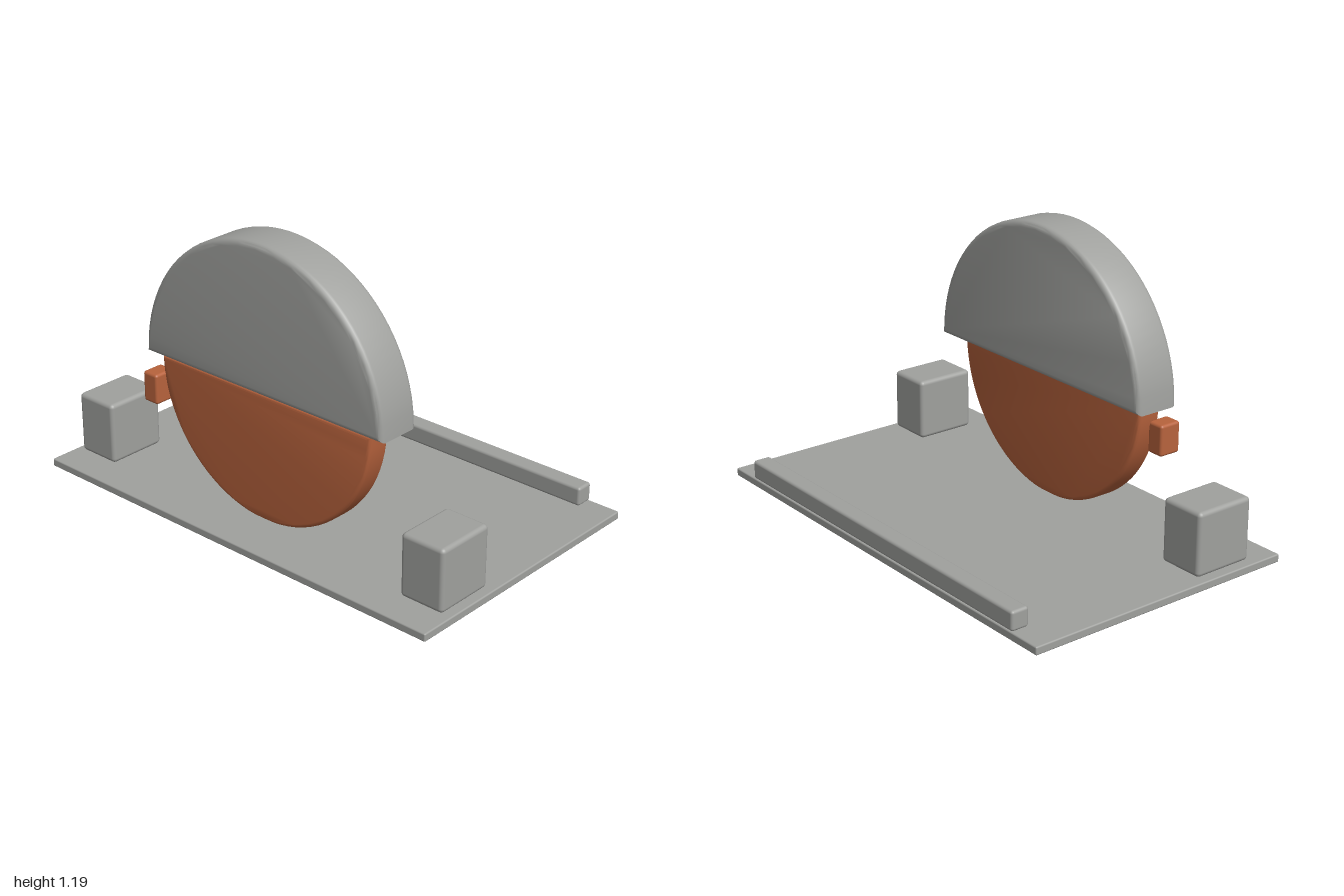
import * as THREE from 'three';
import { toCreasedNormals } from 'three/addons/utils/BufferGeometryUtils.js';
import { RoundedBoxGeometry } from 'three/addons/geometries/RoundedBoxGeometry.js';

const grey = new THREE.MeshStandardMaterial({ color: 0xa0a19e });
grey.name = 'grey metal';
const copper = new THREE.MeshStandardMaterial({ color: 0xb8633d });
copper.name = 'copper';

// Softly rounded box given by its minimum and maximum corners
function box(name, min, max, radius, material) {
  const s = max.map((v, i) => v - min[i]);
  const mesh = new THREE.Mesh(new RoundedBoxGeometry(...s, 3, radius), material);
  mesh.position.set(...min.map((v, i) => (v + max[i]) / 2));
  mesh.name = name;
  return mesh;
}

// Half disc with rounded edges, its flat side on the line y
function halfDisc(name, radius, y, z0, z1, bevel, lower, material) {
  const shape = new THREE.Shape();
  const r = radius - bevel;
  const steps = 40;
  // inset outline: the bevel grows it back to the full size
  const start = Math.asin(bevel / r);
  for (let i = 0; i <= steps; i++) {
    const a = start + (Math.PI - 2 * start) * i / steps;
    const x = r * Math.cos(a), h = r * Math.sin(a);
    if (i === 0) shape.moveTo(x, h);
    else shape.lineTo(x, h);
  }
  shape.closePath();
  const geometry = new THREE.ExtrudeGeometry(shape, {
    depth: z1 - z0 - 2 * bevel, bevelThickness: bevel, bevelSize: bevel, bevelSegments: 4,
  });
  geometry.translate(0, 0, -(z1 - z0) / 2 + bevel);
  if (lower) geometry.rotateZ(Math.PI);
  const mesh = new THREE.Mesh(toCreasedNormals(geometry, 0.6), material);
  mesh.position.set(0, y, (z0 + z1) / 2);
  mesh.name = name;
  return mesh;
}

export function createModel() {
  const model = new THREE.Group();
  model.name = 'discStand';

  // Base and rear rail
  model.add(box('basePlate', [-1, 0, -0.6], [1, 0.034, 0.6], 0.006, grey));
  model.add(box('rearRail', [-0.865, 0.034, -0.6], [0.862, 0.115, -0.522], 0.012, grey));

  // Side blocks
  for (const side of [-1, 1]) {
    const x = side * 0.868;
    const name = side > 0 ? 'leftBlock' : 'rightBlock';
    model.add(box(name, [x - 0.099, 0.036, 0.202], [x + 0.099, 0.3, 0.466], 0.018, grey));
  }

  // Upper guard, lower disc and its small tab
  model.add(halfDisc('upperGuard', 0.617, 0.571, 0.202, 0.4, 0.024, false, grey));
  model.add(halfDisc('lowerDisc', 0.547, 0.572, 0.275, 0.38, 0.016, true, copper));
  model.add(box('sideTab', [-0.607, 0.37, 0.335], [-0.53, 0.5, 0.432], 0.012, copper));

  return model;
}
